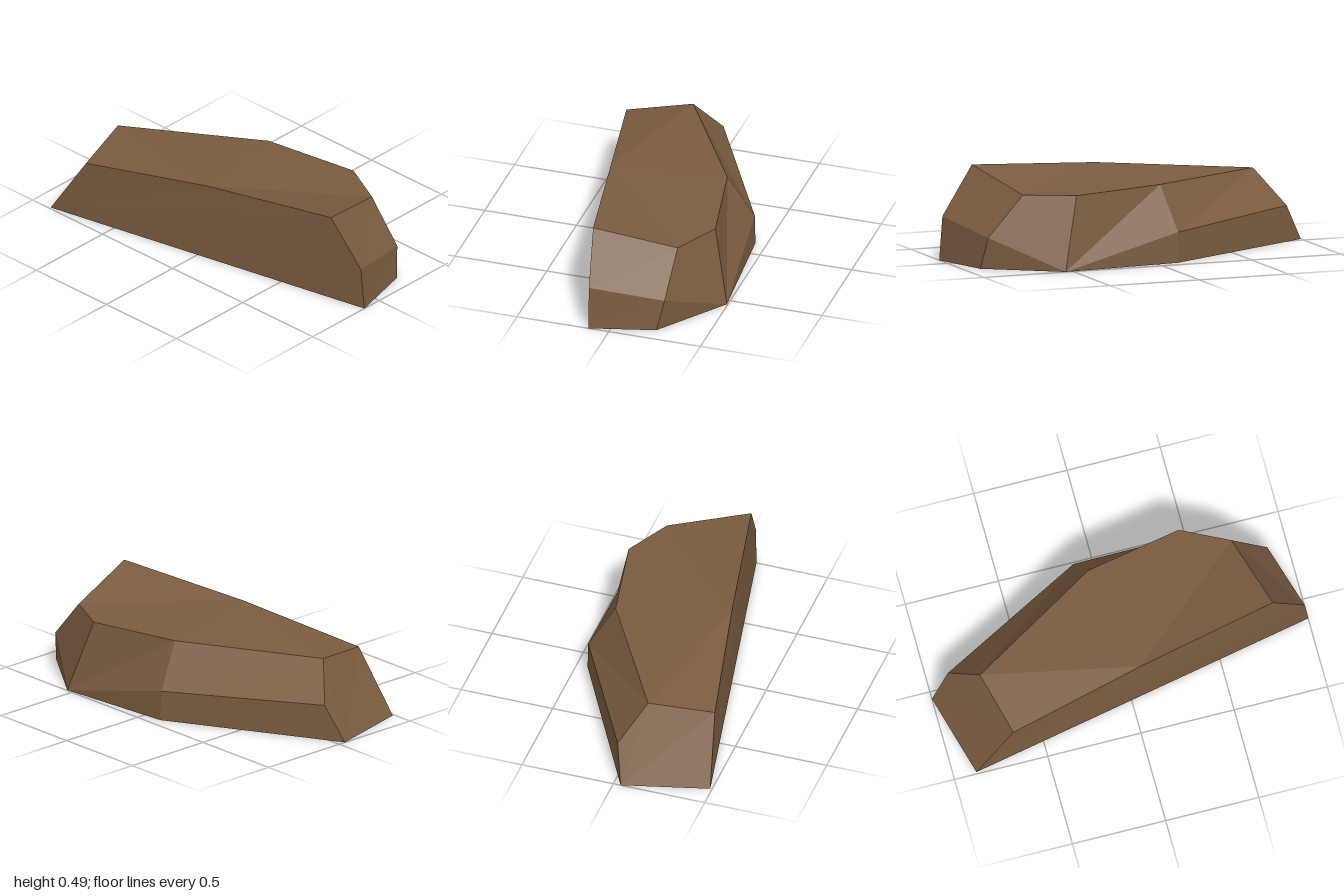
import * as THREE from 'three';

// Corners of the boulder shell, grouped by level
const P = {
  // ground rim
  frontLeft0: [-0.88, 0, 0.49], frontRight0: [1, 0, 0.11], sideRight0: [0.91, 0, -0.23],
  backRight0: [0.54, 0, -0.495], backLeft0: [-0.11, 0, -0.44], sideLeft0: [-1, 0, 0.04],
  // middle
  frontRight1: [0.98, 0.23, 0.115], sideRight1: [0.88, 0.165, -0.265],
  backLeft1: [-0.115, 0.16, -0.435], sideLeft1: [-0.9, 0.19, -0.01],
  // crown
  frontLeft2: [-0.67, 0.335, 0.445], frontMid2: [0.05, 0.43, 0.295], frontRight2: [0.8, 0.485, 0.15],
  sideRight2: [0.69, 0.38, -0.275], backRight2: [0.44, 0.38, -0.4],
  backLeft2: [-0.07, 0.393, -0.3], sideLeft2: [-0.76, 0.38, 0.11],
};

// Facets of each part, corners counter-clockwise from outside
const PARTS = {
  crown: [
    ['frontLeft2', 'frontMid2', 'sideLeft2'],
    ['frontMid2', 'frontRight2', 'sideRight2'],
    ['frontMid2', 'sideRight2', 'backRight2', 'backLeft2', 'sideLeft2'],
  ],
  frontWall: [['frontLeft0', 'frontRight0', 'frontRight1', 'frontRight2', 'frontMid2', 'frontLeft2']],
  rightEnd: [
    ['frontRight0', 'sideRight0', 'sideRight1', 'frontRight1'],
    ['frontRight1', 'sideRight1', 'sideRight2', 'frontRight2'],
  ],
  backWall: [
    ['sideRight0', 'backRight0', 'sideRight1'],
    ['sideRight1', 'backRight0', 'backRight2', 'sideRight2'],
    ['backRight0', 'backLeft1', 'backLeft2', 'backRight2'],
    ['backRight0', 'backLeft0', 'backLeft1'],
    ['backLeft1', 'sideLeft1', 'sideLeft2', 'backLeft2'],
    ['backLeft0', 'sideLeft0', 'sideLeft1', 'backLeft1'],
  ],
  leftEnd: [['sideLeft0', 'frontLeft0', 'frontLeft2', 'sideLeft2', 'sideLeft1']],
};

// Fan each facet into unshared triangles so that it stays flat
function facetGeometry(facets) {
  const pos = [];
  for (const f of facets) {
    for (let i = 1; i < f.length - 1; i++) pos.push(...P[f[0]], ...P[f[i]], ...P[f[i + 1]]);
  }
  const g = new THREE.BufferGeometry();
  g.setAttribute('position', new THREE.Float32BufferAttribute(pos, 3));
  g.computeVertexNormals();
  return g;
}

export function createModel() {
  const group = new THREE.Group();
  group.name = 'boulder';
  // The shell is open underneath, so both sides show
  const stone = new THREE.MeshStandardMaterial({ color: 0x7a5c40, flatShading: true, side: THREE.DoubleSide });
  stone.name = 'brown stone';
  for (const [name, facets] of Object.entries(PARTS)) {
    const mesh = new THREE.Mesh(facetGeometry(facets), stone);
    mesh.name = name;
    group.add(mesh);
  }
  return group;
}
